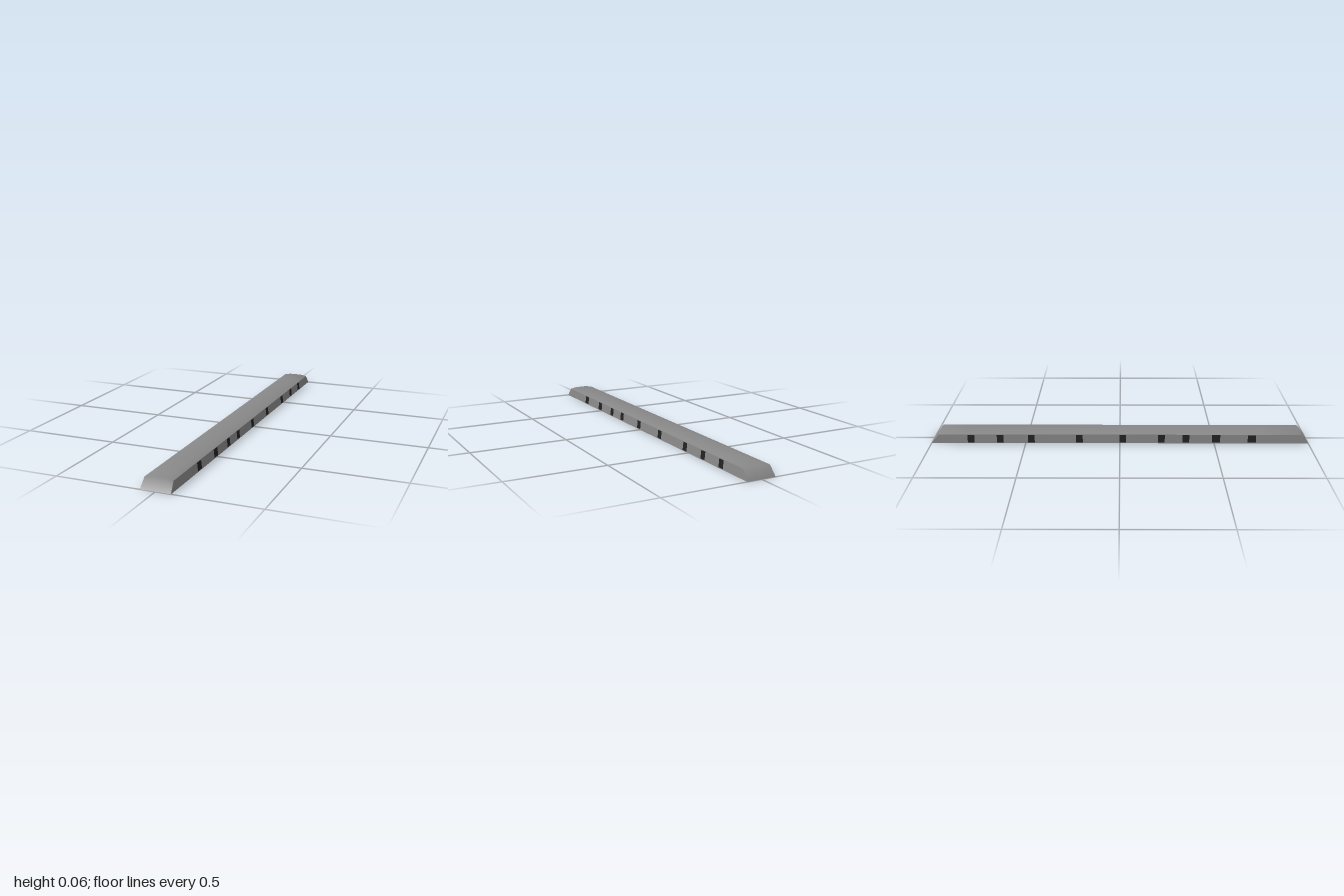
import * as THREE from 'three';

const grey = new THREE.MeshStandardMaterial({ color: 0x888888, side: THREE.DoubleSide });
grey.name = 'grey shell';
const black = new THREE.MeshStandardMaterial({ color: 0x222222, side: THREE.DoubleSide });
black.name = 'black trim';

function surface(points, index) {
  const g = new THREE.BufferGeometry();
  g.setAttribute('position', new THREE.Float32BufferAttribute(points.flat(), 3));
  g.setIndex(index);
  g.computeVertexNormals();
  return g;
}

// Roof and sloped end faces as one smooth sheet of cross-sections
function roofGeometry() {
  // z, half width, edge height, crown height
  const rows = [
    [1, 0.075, 0, 0], [0.962, 0.07, 0.047, 0.054], [0.73, 0.07, 0.047, 0.057],
    [-0.81, 0.07, 0.047, 0.057], [-0.962, 0.07, 0.047, 0.054], [-1, 0.075, 0, 0],
  ];
  const points = [], index = [];
  rows.forEach(([z, w, edge, crown], r) => {
    points.push([-w, edge, z], [-0.035, crown, z], [0.035, crown, z], [w, edge, z]);
    if (r === rows.length - 1) return;
    for (let c = 0; c < 3; c++) {
      const a = r * 4 + c, b = a + 4;
      index.push(a, a + 1, b, a + 1, b + 1, b);
    }
  });
  return surface(points, index);
}

// Flat panel following the leaning side wall; shift moves it out (+) or in (-)
function sidePanel(side, zBack, zFront, y0, y1, shift, taper = 0) {
  const x = (y) => side * (0.075 - (0.005 * y) / 0.047 + shift);
  const points = [
    [x(y0), y0, zFront], [x(y0), y0, zBack],
    [x(y1), y1, zBack + taper], [x(y1), y1, zFront - taper],
  ];
  return surface(points, side > 0 ? [0, 1, 2, 0, 2, 3] : [0, 2, 1, 0, 3, 2]);
}

export function createModel() {
  const model = new THREE.Group();
  model.name = 'model';
  const add = (name, geometry, material, parent = model) => {
    const mesh = new THREE.Mesh(geometry, material);
    mesh.name = name;
    parent.add(mesh);
    return mesh;
  };

  add('roof', roofGeometry(), grey);

  // Side walls, dark inner linings and the row of slots
  const slots = [0.7, 0.51, 0.35, 0.22, 0.015, -0.215, -0.47, -0.635, -0.79];
  for (const side of [1, -1]) {
    const label = side > 0 ? 'left' : 'right';
    add(label + 'Wall', sidePanel(side, -1, 1, 0, 0.047, 0, 0.038), grey);
    add(label + 'InnerLining', sidePanel(side, -0.82, 0.81, 0.001, 0.046, -0.002), black);
    slots.forEach((z, i) => {
      const w = i < 2 ? 0.022 : 0.018;
      add(label + 'Slot', sidePanel(side, z - w, z + w, 0.004, 0.045, 0.001), black);
    });
  }

  // Small crossed fittings under the roof
  for (const z of [0.56, 0.38, 0.05, -0.12, -0.59, -0.76]) {
    const fitting = new THREE.Group();
    fitting.name = 'ceilingFitting';
    fitting.position.set(0.02, 0.05, z);
    for (const turn of [0, Math.PI / 2]) {
      const bar = add('fittingBar', new THREE.BoxGeometry(0.05, 0.004, 0.018), black, fitting);
      bar.rotation.y = turn;
    }
    model.add(fitting);
  }

  return model;
}
